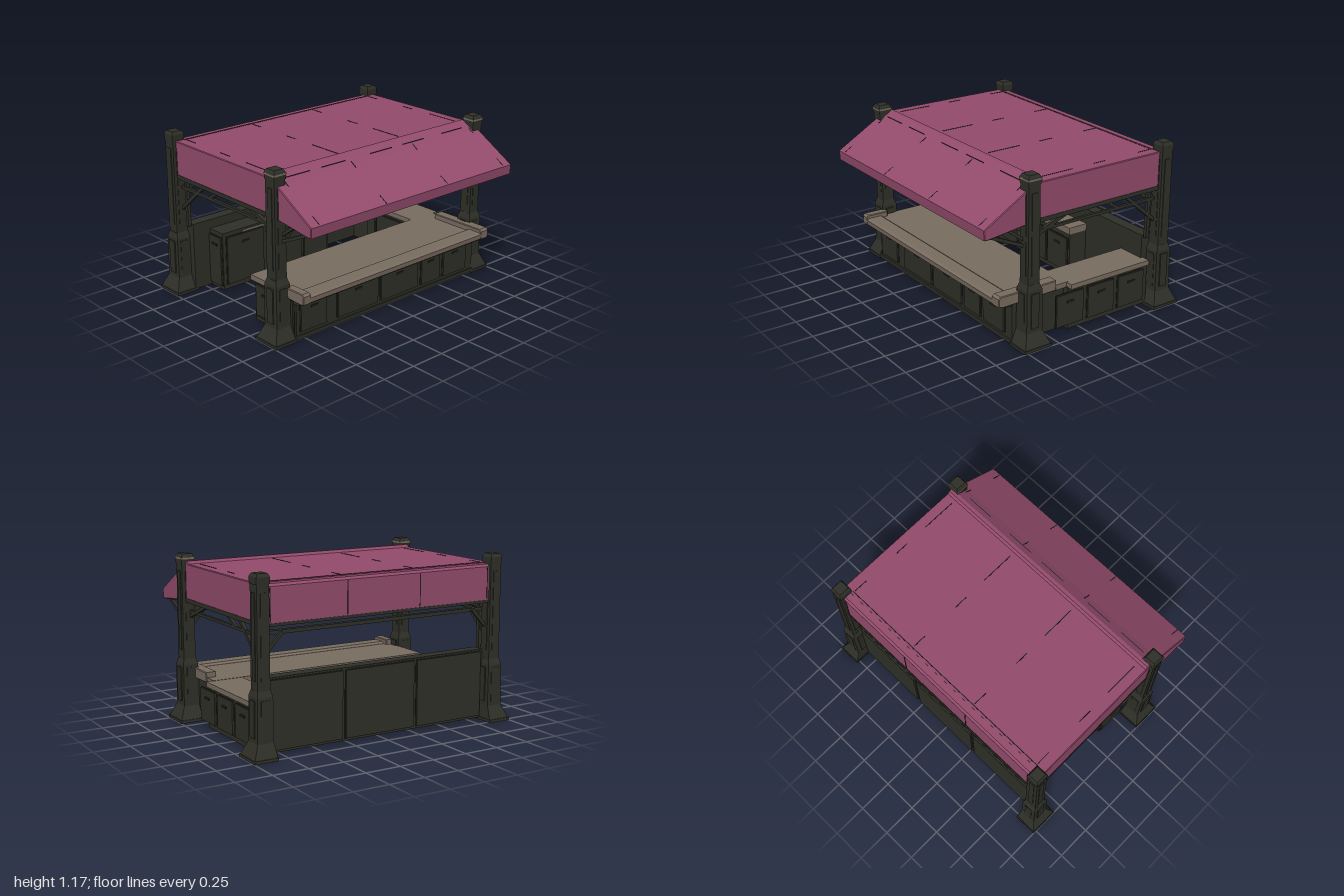
import * as THREE from 'three';

const mat = (name, color) => Object.assign(new THREE.MeshStandardMaterial({ color }), { name });

export function createModel() {
  const root = new THREE.Group();
  root.name = 'marketStall';
  const canvas = mat('plum canopy', 0x944c6c);
  const metal = mat('dark olive metal', 0x2f3028);
  const seamMat = mat('deep seam', 0x20211b);
  const worktop = mat('taupe worktop', 0x7a6d61);
  const orange = mat('orange lamp', 0xb96a2a);

  const add = (name, geo, m, parent = root) => {
    const mesh = new THREE.Mesh(geo, m);
    mesh.name = name;
    parent.add(mesh);
    return mesh;
  };
  // Box given by its min and max on each axis
  const box = (name, [x0, x1], [y0, y1], [z0, z1], m, parent) => {
    const g = new THREE.BoxGeometry(x1 - x0, y1 - y0, z1 - z0);
    g.translate((x0 + x1) / 2, (y0 + y1) / 2, (z0 + z1) / 2);
    return add(name, g, m, parent);
  };
  // Box with separate bottom and top sizes; the bottom can shift in z
  const taper = (name, [wb, db], [wt, dt], y0, y1, m, parent, shift = 0) => {
    const g = new THREE.BoxGeometry(1, y1 - y0, 1);
    const p = g.attributes.position;
    for (let i = 0; i < p.count; i++) {
      const top = p.getY(i) > 0;
      p.setX(i, p.getX(i) * (top ? wt : wb));
      p.setZ(i, p.getZ(i) * (top ? dt : db) + (top ? 0 : shift));
    }
    g.translate(0, (y0 + y1) / 2, 0);
    g.computeVertexNormals();
    return add(name, g, m, parent);
  };
  // Square bar between two points
  const bar = (name, a, b, t, m = metal) => {
    const from = new THREE.Vector3(...a), to = new THREE.Vector3(...b);
    const mesh = add(name, new THREE.BoxGeometry(t, t, from.distanceTo(to)), m);
    mesh.position.copy(from).add(to).multiplyScalar(0.5);
    mesh.lookAt(to);
    return mesh;
  };
  // Bevelled prism from an x-y profile, running along z
  const prism = (name, pts, z0, z1, m, bevel = 0) => {
    const g = new THREE.ExtrudeGeometry(new THREE.Shape(pts.map(p => new THREE.Vector2(...p))), {
      depth: z1 - z0 - 2 * bevel, bevelEnabled: bevel > 0, bevelSize: bevel,
      bevelThickness: bevel, bevelOffset: -bevel, bevelSegments: 1,
    });
    g.translate(0, 0, z0 + bevel);
    return add(name, g, m);
  };

  // Corner posts
  for (const x of [-0.668, 0.418]) for (const s of [-1, 1]) {
    const post = new THREE.Group();
    post.name = 'cornerPost';
    post.position.set(x, 0, s * 0.898);
    root.add(post);
    const sh = s * 0.017;
    box('footPlate', [-0.106, 0.106], [0, 0.02], [sh - 0.085, sh + 0.085], metal, post);
    taper('flaredFoot', [0.2, 0.16], [0.125, 0.115], 0.02, 0.11, metal, post, sh);
    taper('lowerSleeve', [0.125, 0.115], [0.12, 0.11], 0.11, 0.4, metal, post);
    taper('sleeveShoulder', [0.12, 0.11], [0.09, 0.09], 0.4, 0.44, metal, post);
    taper('upperColumn', [0.09, 0.088], [0.088, 0.086], 0.43, 1.11, metal, post);
    taper('collar', [0.094, 0.094], [0.098, 0.094], 1.1, 1.145, metal, post);
    taper('cap', [0.098, 0.094], [0.075, 0.072], 1.145, 1.167, metal, post);
    if (x > 0) box('wornCapEdge', [-0.051, 0.051], [1.13, 1.143], [-0.049, 0.049], worktop, post);
    // Inlaid strips on all four sides
    for (let k = 0; k < 4; k++) {
      const face = new THREE.Group();
      face.name = 'inlaidStrips';
      face.rotation.y = k * Math.PI / 2;
      post.add(face);
      box('upperStrip', [-0.02, 0.02], [0.5, 1.05], [0.043, 0.048], metal, face);
      box('lowerStrip', [-0.03, 0.03], [0.14, 0.38], [0.055, 0.064], metal, face);
    }
  }

  // Canopy: flat roof with a sloping awning over the serving side
  prism('canopy', [[-0.63, 0.845], [0.42, 0.845], [0.74, 0.808], [0.77, 0.81], [0.774, 0.878],
    [0.46, 1.062], [0.375, 1.12], [0.35, 1.12], [0.335, 1.101], [-0.63, 1.101]],
    -0.914, 0.914, canvas, 0.005);
  // Upright rear skirt between the back posts
  prism('rearSkirt', [[-0.695, 0.84], [-0.6, 0.84], [-0.6, 1.099], [-0.675, 1.096], [-0.69, 1.08]],
    -0.86, 0.86, canvas);
  prism('canopyUnderside', [[-0.68, 0.836], [0.42, 0.838], [0.745, 0.802], [0.745, 0.815], [0.42, 0.85], [-0.68, 0.85]],
    -0.895, 0.895, metal);
  for (const s of [-1, 1])
    box('skirtRail', [-0.62, 0.37], [0.835, 0.864], s > 0 ? [0.895, 0.917] : [-0.917, -0.895], metal);
  box('backSkirtRail', [-0.697, -0.67], [0.832, 0.852], [-0.87, 0.87], metal);
  // Stitched seams
  for (const z of [-0.84, -0.28, 0.28, 0.84]) {
    for (const [a, b] of [[-0.6, -0.5], [-0.22, -0.12], [0.05, 0.3]])
      box('roofSeam', [a, b], [1.098, 1.103], [z - 0.003, z + 0.003], seamMat);
    bar('awningSeam', [0.43, 1.08, z], [0.48, 1.048, z], 0.006, seamMat);
    bar('awningEdgeSeam', [0.7, 0.919, z], [0.765, 0.881, z], 0.006, seamMat);
    bar('backSeam', [-0.694, 0.86, z], [-0.69, 1.075, z], 0.006, seamMat);
  }
  box('backRidgeSeam', [-0.615, -0.609], [1.096, 1.103], [-0.85, 0.85], seamMat);
  for (const z of [-0.68, -0.3, 0, 0.42, 0.72])
    box('frontRidgeSeam', [0.415, 0.421], [1.086, 1.092], [z - 0.1, z + 0.1], seamMat);

  // Under-roof beams and braces
  box('rearBeam', [-0.62, -0.58], [0.765, 0.79], [-0.87, 0.87], metal);
  box('lampBeam', [0.41, 0.445], [0.765, 0.797], [-0.87, 0.87], metal);
  for (const s of [-1, 1]) {
    const z = s * 0.88;
    box('crossBeam', [-0.63, 0.4], [0.76, 0.78], s > 0 ? [0.87, 0.89] : [-0.89, -0.87], metal);
    bar('rearBrace', [-0.63, 0.61, z], [-0.36, 0.84, z], 0.022);
    bar('rearStrut', [-0.31, 0.77, z], [-0.19, 0.842, z], 0.02);
    bar('frontBrace', [0.38, 0.735, z], [0.12, 0.838, z], 0.024);
    bar('awningBrace', [0.45, 0.69, z], [0.72, 0.815, z], 0.022);
    bar('awningStrut', [0.45, 0.73, z], [0.58, 0.825, z], 0.02);
    for (const x of [-0.66, 0.43]) bar('sideBrace', [x, 0.67, s * 0.85], [x, 0.79, s * 0.74], 0.022);
    box('rearUpright', [-0.59, -0.565], [0.49, 0.84], s > 0 ? [0.86, 0.885] : [-0.885, -0.86], metal);
  }
  for (const z of [-0.4, -0.2, 0.2, 0.4])
    box('beamClamp', [0.36, 0.46], [0.762, 0.842], [z - 0.02, z + 0.02], metal);

  // Hanging lamps
  for (const z of [-0.63, 0, 0.63]) {
    box('lampHousing', [0.385, 0.46], [0.79, 0.842], [z - 0.095, z + 0.095], metal);
    box('lamp', [0.385, 0.466], [0.757, 0.797], [z - 0.083, z + 0.083], orange);
    box('lampLens', [0.395, 0.44], [0.753, 0.758], [z - 0.065, z + 0.065], worktop);
  }

  // L-shaped counter
  box('servingCabinet', [0.09, 0.51], [0.02, 0.305], [-0.84, 0.82], metal);
  box('servingPlinth', [0.1, 0.522], [0.01, 0.035], [-0.84, 0.825], metal);
  box('sideCabinet', [-0.58, 0.1], [0.012, 0.305], [-0.89, -0.66], metal);
  box('sideWorktop', [-0.58, 0.09], [0.3, 0.335], [-0.91, -0.645], worktop);
  box('servingWorktop', [0.08, 0.55], [0.3, 0.337], [-0.86, 0.85], worktop);
  prism('servingLedge', [[0.5, 0.3], [0.6, 0.3], [0.63, 0.308], [0.633, 0.342], [0.615, 0.352], [0.52, 0.352], [0.5, 0.338]],
    -0.85, 0.855, worktop, 0.006);
  prism('ledgeSupport', [[0.505, 0.268], [0.545, 0.272], [0.61, 0.292], [0.61, 0.303], [0.505, 0.303]],
    -0.83, 0.84, metal);
  // Raised ends of the serving ledge
  for (const [x, z0, z1] of [[0.46, 0.8, 0.862], [0.18, -0.868, -0.79]])
    prism('raisedLedgeEnd', [[x, 0.303], [0.6, 0.298], [0.632, 0.306], [0.634, 0.362], [0.618, 0.377], [x, 0.374]],
      z0, z1, worktop, 0.005);

  // Raised door panel with a handle; turn 0 faces +z, 1 faces +x, 2 faces -z, 3 faces -x
  const door = (cx, cz, turn, w, y0, y1, handle = true) => {
    const g = new THREE.Group();
    g.name = 'door';
    g.position.set(cx, 0, cz);
    g.rotation.y = turn * Math.PI / 2;
    root.add(g);
    box('doorShadowGap', [-w / 2 - 0.005, w / 2 + 0.005], [y0 - 0.005, y1 + 0.005], [0, 0.003], seamMat, g);
    box('doorPanel', [-w / 2, w / 2], [y0, y1], [0, 0.014], metal, g);
    if (handle) box('doorHandle', [-0.03, 0.03], [y1 - 0.065, y1 - 0.05], [0.014, 0.02], seamMat, g);
  };
  for (const [a, b] of [[0.57, 0.79], [0.11, 0.47], [-0.27, 0.08], [-0.49, -0.31], [-0.76, -0.53]])
    door(0.51, (a + b) / 2, 1, b - a, 0.06, 0.275);
  for (const x of [-0.43, -0.17, 0.09]) door(x, -0.89, 2, 0.22, 0.05, 0.275);
  door(0.21, 0.82, 0, 0.2, 0.05, 0.27);
  door(0.42, 0.82, 0, 0.14, 0.05, 0.27, false);
  door(-0.11, -0.66, 0, 0.36, 0.05, 0.275, false);
  door(-0.35, -0.66, 0, 0.08, 0.05, 0.275, false);
  for (const z of [-0.4, 0, 0.4]) door(0.09, z, 3, 0.36, 0.05, 0.275);

  // Rear wall and cabinets
  box('rearWall', [-0.645, -0.56], [0.012, 0.5], [-0.85, 0.85], metal);
  for (const z of [-0.56, 0, 0.56]) door(-0.645, z, 3, 0.535, 0.03, 0.485, false);
  box('tallCabinet', [-0.57, -0.415], [0.012, 0.435], [0.33, 0.71], metal);
  door(-0.415, 0.52, 1, 0.32, 0.05, 0.4);
  door(-0.49, 0.71, 0, 0.13, 0.04, 0.4);
  box('wornTallEdge', [-0.415, -0.41], [0.408, 0.422], [0.34, 0.54], worktop);
  box('lowCabinet', [-0.57, -0.415], [0.012, 0.345], [-0.26, 0.33], metal);
  box('lowWorktop', [-0.57, -0.405], [0.34, 0.39], [-0.265, 0.265], worktop);
  box('taupePanel', [-0.415, -0.406], [0.05, 0.34], [0.25, 0.325], worktop);
  for (const z of [0.115, -0.13]) door(-0.415, z, 1, 0.22, 0.05, 0.3);

  return root;
}
